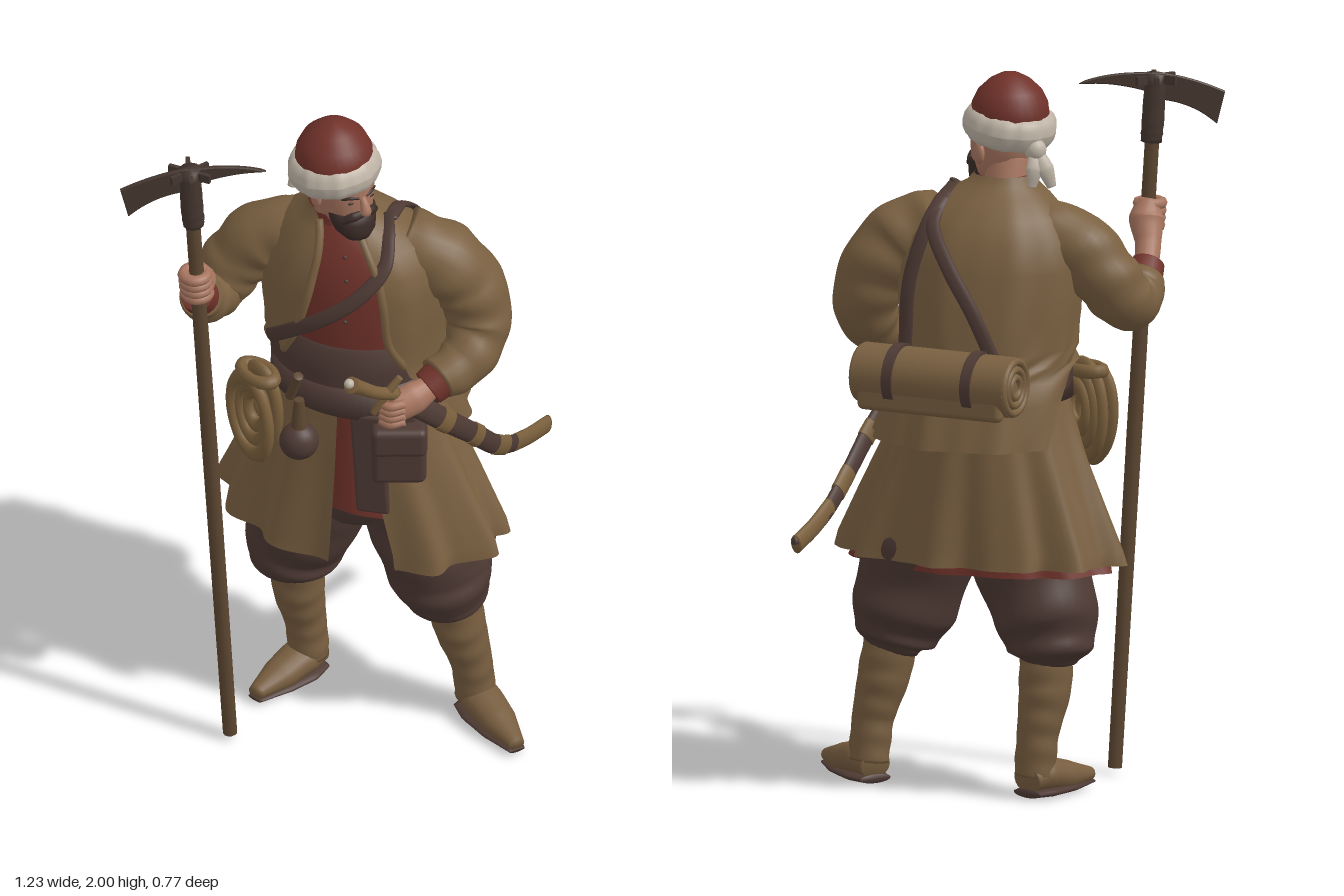
import * as THREE from 'three';
import { RoundedBoxGeometry } from 'three/addons/geometries/RoundedBoxGeometry.js';

const V = (x, y, z) => new THREE.Vector3(x, y, z);
const mat = (name, color, side = THREE.FrontSide) => {
  const m = new THREE.MeshStandardMaterial({ color, side });
  m.name = name;
  return m;
};

// Surface through rows of points, wound to face outward
function grid(rows, closed) {
  const n = rows[0].length, pos = [], idx = [];
  rows.forEach(r => r.forEach(p => pos.push(p.x, p.y, p.z)));
  for (let j = 0; j < rows.length - 1; j++)
    for (let i = 0; i < (closed ? n : n - 1); i++) {
      const a = j * n + i, b = j * n + (i + 1) % n;
      idx.push(a, b, b + n, a, b + n, a + n);
    }
  const g = new THREE.BufferGeometry();
  g.setAttribute('position', new THREE.Float32BufferAttribute(pos, 3));
  g.setIndex(idx);
  g.computeVertexNormals();
  return g;
}

// Stacked ellipses, each [y, cx, cz, rx, rz, frontGap, gapShift]; lift raises the hem at sides and back
function loft(rings, { mid = 0, ripple = 0, folds = 11, lift = 0, n = 72 } = {}) {
  const closed = rings[0][5] === undefined;
  const rows = rings.map(([y, cx, cz, rx, rz, gap = 0, shift = 0], j) => {
    const low = 1 - j / (rings.length - 1), row = [];
    for (let i = 0; i < n; i++) {
      const a = mid + shift + gap + (2 * Math.PI - 2 * gap) * i / (closed ? n : n - 1);
      const k = 1 + ripple * low * (Math.sin(folds * a) + 0.5 * Math.sin(folds * 1.7 * a + 1) * Math.sin(a / 2));
      row.push(V(cx + rx * k * Math.sin(a), y + lift * low * Math.min(1, 1 - Math.cos(a)), cz + rz * k * Math.cos(a)));
    }
    return row;
  });
  return grid(rows, closed);
}

// Point on a loft at height y and angle a, moved out by off
function onLoft(rings, y, a, off) {
  let j = 0;
  while (j < rings.length - 2 && rings[j + 1][0] < y) j++;
  const t = (y - rings[j][0]) / (rings[j + 1][0] - rings[j][0]);
  const [, cx, cz, rx, rz] = rings[j].map((v, i) => v + (rings[j + 1][i] - v) * t);
  return [cx + (rx + off) * Math.sin(a), y, cz + (rz + off) * Math.cos(a)];
}

// Limb along points [x, y, z, radius]; flat squashes it along ref
function limb(pts, { flat = 1, ref = V(0.13, 0.1, 1), steps = 28, n = 18, wrinkle = 0, waves = 6 } = {}) {
  const curve = new THREE.CatmullRomCurve3(pts.map(p => V(p[0], p[1], p[2])));
  const rows = [];
  for (let j = -1; j <= steps + 1; j++) {
    const t = Math.min(1, Math.max(0, j / steps)), f = t * (pts.length - 1);
    const k = Math.min(pts.length - 2, Math.floor(f));
    const c = curve.getPoint(t), tan = curve.getTangent(t);
    const side = tan.clone().cross(ref).normalize(), up = tan.clone().cross(side);
    const r0 = j < 0 || j > steps ? 0 : THREE.MathUtils.lerp(pts[k][3], pts[k + 1][3], f - k);
    const row = [];
    for (let i = 0; i < n; i++) {
      const a = i / n * 2 * Math.PI;
      const r = r0 * (1 + wrinkle * Math.sin(t * waves * 6.28 + 2.2 * Math.sin(a)) * (0.6 + 0.4 * Math.cos(2 * a + 5 * t)));
      row.push(c.clone().addScaledVector(side, Math.cos(a) * r).addScaledVector(up, Math.sin(a) * r * flat));
    }
    rows.push(row);
  }
  return grid(rows, true);
}

export function createModel() {
  const D = THREE.DoubleSide;
  const coat = mat('coat tan', 0x7a6041, D), red = mat('tunic red', 0x70322a, D), brown = mat('leather brown', 0x4e3a34);
  const boot = mat('boot tan', 0x775d3f), skin = mat('skin', 0xa87660), fur = mat('fur white', 0xbfb4a6);
  const hair = mat('beard brown', 0x3b2c27), wood = mat('wood', 0x5c4631), iron = mat('iron', 0x45362f), rope = mat('rope tan', 0x7a5f3c);
  const model = new THREE.Group();
  const group = (name, x = 0, y = 0, z = 0, ry = 0, parent = model) => {
    const g = new THREE.Group();
    g.name = name; g.position.set(x, y, z); g.rotation.y = ry;
    parent.add(g);
    return g;
  };
  const add = (name, geo, m, parent = model, p = [0, 0, 0], s = [1, 1, 1], r = [0, 0, 0]) => {
    const o = new THREE.Mesh(geo, m);
    o.name = name; o.position.set(...p); o.scale.set(...s); o.rotation.set(...r);
    parent.add(o);
  };
  const ball = new THREE.SphereGeometry(1, 24, 16);

  // Legs: boots, soles and baggy breeches
  const legs = [
    { n: 'left', shaft: [[0.3, 0.43, 0.13, 0.075], [0.325, 0.3, 0.13, 0.073], [0.355, 0.18, 0.13, 0.058], [0.368, 0.06, 0.125, 0.056]],
      foot: [[0.352, 0.052, 0.09, 0.045], [0.38, 0.06, 0.15, 0.058], [0.42, 0.043, 0.24, 0.05], [0.458, 0.032, 0.335, 0.022]],
      trouser: [[0.13, 0.9, 0.05, 0.14], [0.22, 0.68, 0.08, 0.155], [0.27, 0.5, 0.115, 0.148], [0.295, 0.41, 0.13, 0.115], [0.305, 0.37, 0.13, 0.07]] },
    { n: 'right', shaft: [[-0.1, 0.43, -0.09, 0.075], [-0.095, 0.3, -0.1, 0.073], [-0.075, 0.18, -0.11, 0.058], [-0.065, 0.06, -0.11, 0.056]],
      foot: [[-0.04, 0.052, -0.14, 0.045], [-0.085, 0.06, -0.1, 0.058], [-0.155, 0.043, -0.045, 0.05], [-0.23, 0.032, 0.02, 0.022]],
      trouser: [[0.03, 0.9, 0, 0.14], [-0.05, 0.68, -0.04, 0.16], [-0.1, 0.5, -0.08, 0.145], [-0.11, 0.41, -0.09, 0.12], [-0.11, 0.37, -0.09, 0.07]] }];
  for (const l of legs) {
    add(l.n + 'BootShaft', limb(l.shaft, { wrinkle: 0.035, waves: 5, steps: 48 }), boot);
    add(l.n + 'BootFoot', limb(l.foot, { flat: 0.85, ref: V(0, 1, 0) }), boot);
    add(l.n + 'Sole', limb(l.foot.map(([x, , z, r]) => [x, 0.013, z, r * 1.06]), { flat: 0.25, ref: V(0, 1, 0) }), brown);
    add(l.n + 'Breeches', limb(l.trouser, { wrinkle: 0.06, waves: 4, steps: 48, n: 32 }), brown);
  }
  add('breechesSeat', ball, brown, model, [0.07, 0.78, 0.02], [0.2, 0.16, 0.15]);

  // Skirts of coat and tunic, open at the front
  const lower = group('lowerBody', 0.07, 0, 0.03, -0.5);
  add('tunicSkirt', loft([[0.78, 0, 0, 0.375, 0.19], [0.95, 0, 0, 0.27, 0.175], [1.1, 0, 0, 0.22, 0.17], [1.22, -0.01, 0, 0.2, 0.165]],
    { ripple: 0.035, folds: 11, lift: -0.15 }), red, lower);
  const skirt = [[0.61, 0, 0, 0.405, 0.22, 0.25], [0.66, 0, 0, 0.398, 0.217, 0.24], [0.8, -0.005, 0, 0.345, 0.21, 0.21], [0.95, -0.012, 0, 0.285, 0.2, 0.17],
    [1.08, -0.015, 0, 0.243, 0.195, 0.14], [1.2, -0.02, 0, 0.215, 0.185, 0.12]];
  add('coatSkirt', loft(skirt, { mid: 0.2, ripple: 0.06, lift: 0.045, n: 140 }), coat, lower);
  add('belt', loft([[1.11, -0.01, 0, 0.1, 0.1], [1.11, -0.01, 0, 0.253, 0.207], [1.2, -0.02, 0, 0.24, 0.205], [1.2, -0.02, 0, 0.1, 0.1]]), brown, lower);

  // Upper body: tunic, broad sash and open jacket with a hem rising to the right hip
  const upper = group('upperBody', 0.05, 0, 0, -0.5);
  const jacket = [[1.0, 0.02, -0.045, 0.29, 0.243, 1.77, -0.47], [1.12, 0.01, -0.03, 0.275, 0.235, 1.57, -0.52], [1.18, 0.005, -0.02, 0.262, 0.225, 1.37, -0.5],
    [1.22, 0, -0.01, 0.253, 0.217, 1.0, -0.25], [1.26, 0, -0.005, 0.25, 0.215, 0.75, -0.05], [1.35, 0, 0, 0.255, 0.215, 0.55, -0.05], [1.48, 0, 0.01, 0.268, 0.207, 0.42, 0],
    [1.56, 0, 0.013, 0.25, 0.187, 0.38, 0], [1.62, -0.005, 0.02, 0.21, 0.16, 0.36, 0], [1.67, -0.015, 0.03, 0.15, 0.122, 0.4, 0],
    [1.7, -0.025, 0.04, 0.1, 0.095, 0.5, 0], [1.725, -0.03, 0.045, 0.085, 0.085, 0.7, 0]];
  add('jacket', loft(jacket, { mid: 0.2, ripple: 0.03, folds: 9, n: 110 }), coat, upper);
  add('tunicChest', loft(jacket.slice(3, 11).map(([y, cx, cz, rx, rz]) => [y, cx, cz, rx - 0.022, rz - 0.018])), red, upper);
  add('tunicCollar', loft([[1.66, -0.02, 0.045, 0.085, 0.085, 0.12], [1.72, -0.025, 0.05, 0.068, 0.072, 0.25]], { mid: 0.2 }), red, upper);
  add('sash', loft([[1.14, 0, 0.01, 0.23, 0.2], [1.24, 0, 0.01, 0.235, 0.207], [1.32, 0, 0.005, 0.233, 0.203], [1.33, 0, 0, 0.2, 0.18]]), brown, upper);
  for (const s of [-1, 1]) // jacket front edges
    add('jacketEdge', limb(jacket.slice(4, 11).map(r => [...onLoft(jacket, r[0], 0.2 + r[6] + s * r[5], 0), 0.012]), { n: 8 }), coat, upper);
  for (let i = 0; i < 4; i++)
    add('tunicButton', ball, brown, upper, onLoft(jacket, 1.42 + i * 0.065, 0.2, -0.016), [0.006, 0.006, 0.005]);

  // Straps across chest and back
  const strap = (name, list, ref) =>
    add(name, limb(list.map(([y, a]) => [...onLoft(jacket, y, a, 0.01), 0.021]), { flat: 0.35, ref, n: 10, steps: 36 }), brown, upper);
  strap('chestStrap', [[1.69, 1.7], [1.665, 1.1], [1.6, 0.7], [1.52, 0.35], [1.44, 0], [1.36, -0.4], [1.27, -0.85]], V(0, 0.4, 1));
  strap('leftBackStrap', [[1.685, 1.6], [1.665, 2.3], [1.6, 2.55], [1.45, 2.5], [1.25, 2.4]], V(0, 0.4, -1));
  strap('rightBackStrap', [[1.665, 2.3], [1.6, 2.65], [1.5, 3.0], [1.38, 3.3], [1.25, 3.55]], V(0, 0.4, -1));

  // Bedroll on the back
  const roll = group('bedroll', 0.205, 1.19, -0.185, -0.56);
  const onSide = [0, 0, Math.PI / 2];
  add('blanket', new THREE.CylinderGeometry(0.084, 0.084, 0.46, 32, 4), coat, roll, [0, 0, 0], [1, 1, 1], onSide);
  add('blanketFlap', new RoundedBoxGeometry(0.44, 0.07, 0.04, 3, 0.018), coat, roll, [0, -0.055, -0.055]);
  for (const s of [-1, 1]) {
    add('rollStrap', new THREE.CylinderGeometry(0.091, 0.091, 0.03, 32), brown, roll, [s * 0.12, 0, 0], [1, 1, 1], onSide);
    for (const R of [0.028, 0.05, 0.072])
      add('rollLayer', new THREE.TorusGeometry(R, 0.011, 8, 28), coat, roll, [s * 0.23, 0, 0], [1, 1, 1], [0, Math.PI / 2, 0]);
  }

  // Arms with cuffs
  add('leftSleeve', limb([[0.17, 1.59, 0.05, 0.09], [0.275, 1.535, 0.085, 0.108], [0.355, 1.44, 0.1, 0.1], [0.375, 1.33, 0.13, 0.088], [0.33, 1.26, 0.19, 0.076], [0.25, 1.23, 0.235, 0.062]],
    { wrinkle: 0.045, waves: 6, steps: 56, n: 24, ref: V(0.5, 0.1, 1) }), coat);
  add('leftCuff', limb([[0.262, 1.235, 0.23, 0.058], [0.222, 1.212, 0.247, 0.052]]), red);
  add('rightSleeve', limb([[-0.07, 1.58, -0.03, 0.09], [-0.19, 1.53, -0.08, 0.1], [-0.27, 1.44, -0.095, 0.092], [-0.325, 1.375, -0.07, 0.083], [-0.36, 1.385, -0.015, 0.074], [-0.38, 1.42, 0.025, 0.06]],
    { wrinkle: 0.045, waves: 6, steps: 56, n: 24, ref: V(-0.6, 1, 0.1) }), coat);
  add('rightCuff', limb([[-0.375, 1.405, 0.015, 0.058], [-0.395, 1.45, 0.06, 0.047]], { ref: V(1, 0, 0) }), red);

  // Hands
  add('rightHand', limb([[-0.39, 1.44, 0.055, 0.034], [-0.4, 1.5, 0.1, 0.036], [-0.4, 1.56, 0.14, 0.05], [-0.41, 1.61, 0.155, 0.03]], { ref: V(1, 0, 0) }), skin);
  for (let i = 0; i < 4; i++)
    add('rightFinger', new THREE.TorusGeometry(0.032, 0.016, 8, 20), skin, model, [-0.406 - i * 0.002, 1.535 + i * 0.021, 0.165], [1, 1, 1], [Math.PI / 2, 0, 0]);
  add('leftHand', limb([[0.23, 1.215, 0.245, 0.036], [0.18, 1.2, 0.27, 0.048], [0.13, 1.185, 0.285, 0.045], [0.1, 1.18, 0.285, 0.02]], { flat: 0.8 }), skin);
  for (let i = 0; i < 4; i++)
    add('leftFinger', limb([[0.15, 1.215 - i * 0.02, 0.313, 0.013], [0.11, 1.21 - i * 0.02, 0.318, 0.013], [0.085, 1.205 - i * 0.02, 0.293, 0.01]], { n: 8, steps: 8 }), skin);

  // Long pole with axe blade and pick
  const pole = group('poleAxe');
  add('pole', limb([[-0.315, 0.015, 0.165, 0.02], [-0.37, 0.98, 0.165, 0.022], [-0.428, 1.95, 0.165, 0.02]], { steps: 8, n: 12 }), wood, pole);
  add('langet', limb([[-0.415, 1.77, 0.165, 0.03], [-0.42, 1.83, 0.165, 0.032], [-0.427, 1.96, 0.165, 0.03]], { steps: 10, n: 10, wrinkle: 0.06 }), iron, pole);
  const head = new THREE.Shape();
  head.moveTo(-0.44, 1.96);
  head.quadraticCurveTo(-0.53, 1.945, -0.615, 1.905);
  head.lineTo(-0.595, 1.82);
  head.quadraticCurveTo(-0.53, 1.88, -0.44, 1.89);
  head.lineTo(-0.4, 1.915);
  head.quadraticCurveTo(-0.3, 1.945, -0.22, 1.937);
  head.quadraticCurveTo(-0.3, 1.965, -0.4, 1.96);
  add('axeHead', new THREE.ExtrudeGeometry(head, { depth: 0.008, bevelSize: 0.003, bevelThickness: 0.002, bevelSegments: 1 }), iron, pole, [0, 0, 0.161]);
  for (let i = 0; i < 6; i++) {
    const a = i * Math.PI / 3 + 0.5;
    add('flange', new THREE.BoxGeometry(0.04, 0.025, 0.012), iron, pole, [-0.427 + 0.042 * Math.cos(a), 1.945, 0.165 - 0.042 * Math.sin(a)], [1, 1, 1], [0, a, 0]);
  }

  // Sabre in a banded scabbard lying over the left side of the coat
  const sabre = [[0.16, 1.2, 0.28], [0.26, 1.1, 0.24], [0.355, 0.985, 0.165], [0.43, 0.875, 0.08], [0.505, 0.79, -0.04], [0.6, 0.735, -0.18]];
  const edge = { flat: 0.55, ref: V(0.66, 0.05, 0.75), n: 14 };
  add('scabbard', limb(sabre.map((p, i) => [...p, 0.034 - i * 0.002]), edge), brown);
  const sabreCurve = new THREE.CatmullRomCurve3(sabre.map(p => V(...p)));
  for (const [t, len] of [[0.22, 0.03], [0.42, 0.03], [0.64, 0.05], [0.88, 0.12]]) {
    const at = [-1, 0, 1].map(k => [...sabreCurve.getPoint(Math.min(1, t + k * len)).toArray(), 0.037 - 0.011 * t]);
    add('scabbardBand', limb(at, edge), rope);
  }
  add('sabreGrip', limb([[0.13, 1.225, 0.28, 0.018], [0.07, 1.265, 0.32, 0.018], [0.02, 1.31, 0.35, 0.02], [-0.005, 1.335, 0.37, 0.024]]), rope);
  add('pommelCap', ball, fur, model, [-0.01, 1.34, 0.37], [0.014, 0.014, 0.014]);
  add('crossguard', limb([[0.065, 1.18, 0.3, 0.01], [0.1, 1.24, 0.3, 0.013], [0.14, 1.29, 0.29, 0.01]], { n: 8 }), rope);

  // Things hung from the belt
  const pouch = group('pouch', 0.14, 1.015, 0.265, -0.1);
  add('pouchBody', new RoundedBoxGeometry(0.15, 0.18, 0.07, 3, 0.02), brown, pouch);
  add('pouchFlap', new RoundedBoxGeometry(0.155, 0.09, 0.08, 3, 0.02), brown, pouch, [0, 0.05, 0.003]);
  add('pouchLoops', new RoundedBoxGeometry(0.09, 0.14, 0.02, 2, 0.008), brown, pouch, [0, 0.12, -0.015]);
  add('hangingCloth', new RoundedBoxGeometry(0.095, 0.33, 0.03, 2, 0.01), brown, model, [0.065, 0.96, 0.232], [1, 1, 1], [0, -0.4, 0.06]);
  add('flask', ball, brown, model, [-0.13, 1.04, 0.215], [0.055, 0.056, 0.05]);
  add('flaskNeck', new THREE.CylinderGeometry(0.014, 0.024, 0.1, 14), wood, model, [-0.13, 1.13, 0.215]);
  add('knifeHandle', limb([[-0.15, 1.16, 0.17, 0.014], [-0.13, 1.25, 0.2, 0.014]], { n: 10 }), wood);
  const coil = group('ropeCoil', -0.225, 1.06, 0.055, -0.95);
  for (let i = 0; i < 6; i++)
    add('ropeLoop', new THREE.TorusGeometry(0.036 + (i % 3) * 0.019, 0.016, 8, 32), rope, coil, [0, -0.006 * i, (i - 2.5) * 0.012], [1, 1.65, 1], [0, 0, (i - 2.5) * 0.06]);
  add('ropeWrap', new THREE.TorusGeometry(0.035, 0.014, 8, 20), rope, coil, [0, 0.1, 0], [1.6, 1, 1.4], [Math.PI / 2, 0, 0]);

  // Head turned to its left, with full beard
  add('neck', limb([[0, 1.64, 0.02, 0.065], [-0.01, 1.76, 0.045, 0.062]]), skin);
  const h = group('head', 0, 1.78, 0.052, 0.5);
  add('face', loft([[-0.105, 0, 0.06, 0.005, 0.005], [-0.1, 0, 0.055, 0.038, 0.04], [-0.06, 0, 0.035, 0.062, 0.07], [-0.02, 0, 0.022, 0.075, 0.09],
    [0.03, 0, 0.018, 0.08, 0.095], [0.08, 0, 0.015, 0.082, 0.095]], { n: 36 }), skin, h);
  add('nose', limb([[0, 0.03, 0.108, 0.009], [0, 0.005, 0.122, 0.013], [0, -0.01, 0.124, 0.017], [0, -0.017, 0.112, 0.01]], { n: 12, ref: V(1, 0, 0) }), skin, h);
  add('beard', loft([[-0.115, 0, 0.088, 0.004, 0.004], [-0.108, 0, 0.085, 0.038, 0.035], [-0.085, 0, 0.072, 0.058, 0.057], [-0.055, 0, 0.062, 0.067, 0.062],
    [-0.032, 0, 0.055, 0.07, 0.061], [-0.02, 0, 0.046, 0.062, 0.05]], { n: 36 }), hair, h);
  for (const s of [-1, 1]) {
    add('moustache', limb([[0, -0.022, 0.114, 0.011], [s * 0.03, -0.027, 0.108, 0.014], [s * 0.056, -0.045, 0.088, 0.01]], { n: 10 }), hair, h);
    add('eye', ball, hair, h, [s * 0.032, 0.018, 0.103], [0.011, 0.004, 0.004]);
    add('eyebrow', limb([[s * 0.012, 0.031, 0.111, 0.004], [s * 0.035, 0.036, 0.104, 0.005], [s * 0.056, 0.031, 0.088, 0.003]], { n: 8 }), hair, h);
    add('ear', ball, skin, h, [s * 0.082, 0, 0.005], [0.012, 0.03, 0.02]);
  }

  // Cap with fur trim and knotted tails
  const cap = group('cap', -0.014, 1.86, 0.05);
  const dome = [[0.1, -0.02], [0.109, 0.02], [0.105, 0.055], [0.088, 0.09], [0.056, 0.12], [0.025, 0.136], [0, 0.14]];
  add('capDome', new THREE.LatheGeometry(dome.map(p => new THREE.Vector2(...p)), 32), red, cap, [0, 0, 0], [1, 1, 1.06]);
  const trim = new THREE.TorusGeometry(0.098, 0.031, 14, 64).rotateX(Math.PI / 2);
  const q = trim.attributes.position;
  for (let i = 0; i < q.count; i++) {
    const a = Math.atan2(q.getZ(i), q.getX(i)), k = 1 + 0.012 * Math.sin(9 * a) + 0.01 * Math.sin(17 * a);
    q.setXYZ(i, q.getX(i) * k, q.getY(i) * 1.5 * k, q.getZ(i) * k * 1.03);
  }
  trim.computeVertexNormals();
  add('furTrim', trim, fur, cap, [0, -0.008, 0], [1, 1, 1], [-0.12, 0, 0.1]);
  add('tailKnot', ball, fur, cap, [-0.06, -0.06, -0.1], [0.03, 0.032, 0.028]);
  for (const s of [-1, 1])
    add('furTail', limb([[-0.06, -0.06, -0.1, 0.018], [-0.07 + s * 0.015, -0.11, -0.12, 0.024], [-0.075 + s * 0.028, -0.16, -0.12, 0.013]], { flat: 0.6, n: 12 }), fur, cap);

  return model;
}
